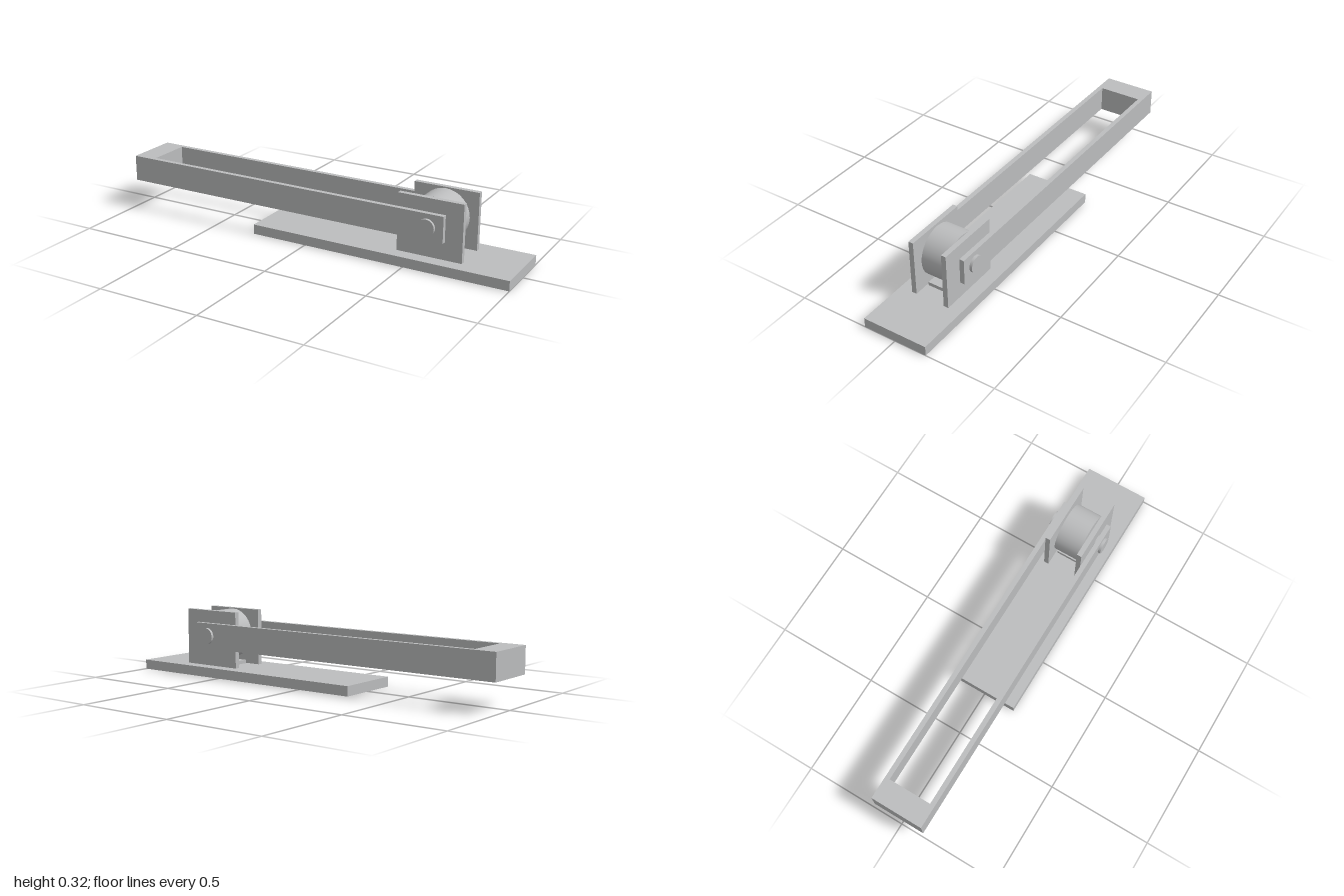
import * as THREE from 'three';

export function createModel() {
  const model = new THREE.Group();
  const steel = new THREE.MeshStandardMaterial({ color: 0xbcbdbe });
  steel.name = 'brushed steel grey';
  const smoothless = { axleX: 0.597, axleY: 0.198 };

  function add(name, geometry, x, y, z) {
    const mesh = new THREE.Mesh(geometry, steel);
    mesh.name = name;
    mesh.position.set(x, y, z);
    model.add(mesh);
    return mesh;
  }

  // box given by its limits on each axis
  function box(name, x0, x1, y0, y1, z0, z1) {
    return add(name, new THREE.BoxGeometry(x1 - x0, y1 - y0, z1 - z0),
      (x0 + x1) / 2, (y0 + y1) / 2, (z0 + z1) / 2);
  }

  // cylinder lying along z, centred on the axle
  function roller(name, radius, length) {
    const geometry = new THREE.CylinderGeometry(radius, radius, length, 32);
    geometry.rotateX(Math.PI / 2);
    return add(name, geometry, smoothless.axleX, smoothless.axleY, 0);
  }

  // base plate and the low pad beneath the wheel
  box('basePlate', -0.28, 1, 0, 0.047, -0.16, 0.16);
  box('wheelPad', 0.515, 0.68, 0.047, 0.064, -0.064, 0.064);

  // upright bracket plates on both sides of the wheel
  for (const side of [1, -1]) {
    const plate = box(side > 0 ? 'frontBracket' : 'backBracket',
      0.44, 0.755, 0.047, 0.321, 0.0725, 0.0965);
    plate.position.z *= side;
  }

  // wheel and the pin through it
  roller('wheel', 0.12, 0.128);
  roller('axlePin', 0.04, 0.282);

  // U-shaped lever: two arms joined by a solid end block
  const outline = new THREE.Shape([
    [-1, -0.128], [0.675, -0.128], [0.675, -0.105], [-0.89, -0.105],
    [-0.89, 0.105], [0.675, 0.105], [0.675, 0.128], [-1, 0.128],
  ].map(([x, y]) => new THREE.Vector2(x, y)));
  const lever = new THREE.ExtrudeGeometry(outline, { depth: 0.126, bevelEnabled: false });
  lever.rotateX(-Math.PI / 2);
  add('leverFrame', lever, 0, 0.135, 0);

  return model;
}
